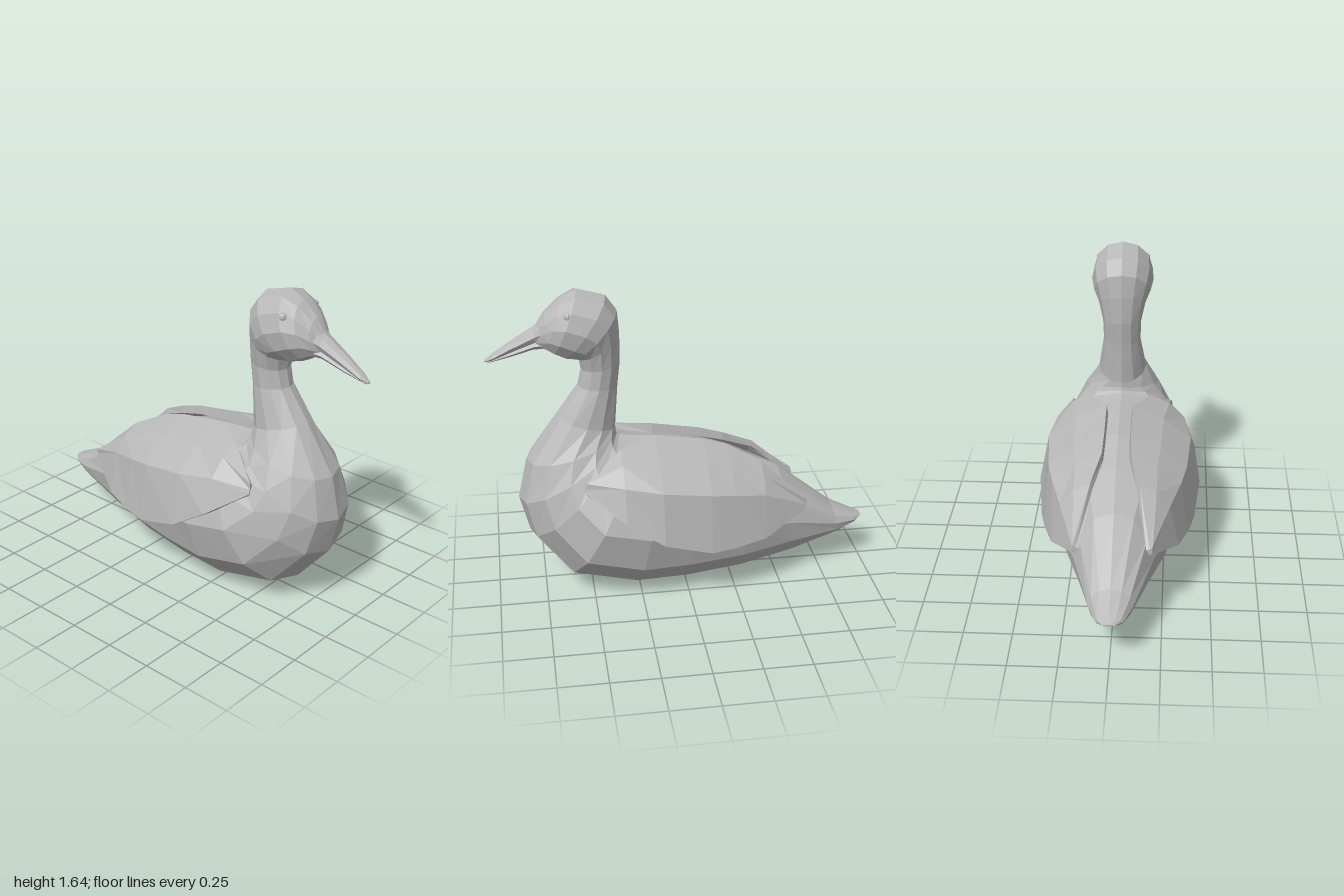
import * as THREE from 'three';

// Skin a list of closed loops (back to front, counter-clockwise seen from +z), capping both ends
function skin(loops) {
  const pos = [];
  const tri = (a, b, c) => pos.push(...a, ...b, ...c);
  const n = loops[0].length;
  for (let i = 0; i < loops.length - 1; i++) {
    const A = loops[i], B = loops[i + 1];
    for (let j = 0; j < n; j++) {
      const k = (j + 1) % n;
      tri(A[j], A[k], B[k]);
      tri(A[j], B[k], B[j]);
    }
  }
  const first = loops[0], last = loops[loops.length - 1];
  for (let j = 1; j < n - 1; j++) {
    tri(first[0], first[j + 1], first[j]);
    tri(last[0], last[j], last[j + 1]);
  }
  const g = new THREE.BufferGeometry();
  g.setAttribute('position', new THREE.Float32BufferAttribute(pos, 3));
  g.computeVertexNormals();
  return g;
}

// Elliptical loop between an underside point and a topside point of the side profile
function ring([bz, by, tz, ty, w], sides) {
  const loop = [];
  for (let j = 0; j < sides; j++) {
    const a = (j / sides) * Math.PI * 2;
    const t = (1 - Math.cos(a)) / 2;
    loop.push([w * Math.sin(a), by + (ty - by) * t, bz + (tz - bz) * t]);
  }
  return loop;
}

// Wing cross-section: outer skin from lower edge to back edge, then the inner skin
function wingLoop([z, tx, ty, cx, cy, bx, by], side) {
  const outer = [
    [bx, by], [cx, cy],
    [(tx + cx) / 2 + 0.008, (ty + cy) / 2 + 0.02],
    [tx, ty],
  ];
  const inner = outer.map(([x, y]) => [x * 0.9, 0.42 + (y - 0.42) * 0.88]).reverse();
  const loop = [...outer, ...inner].map(([x, y]) => [x * side, y, z]);
  return side > 0 ? loop : loop.reverse();
}

export function createModel() {
  const model = new THREE.Group();
  model.name = 'waterBird';
  const grey = new THREE.MeshStandardMaterial({ color: 0xb8b8b8, flatShading: true });
  grey.name = 'plainGrey';
  const add = (name, geometry, parent = model) => {
    const mesh = new THREE.Mesh(geometry, grey);
    mesh.name = name;
    parent.add(mesh);
    return mesh;
  };
  const loft = (rows, sides) => skin(rows.map((r) => ring(r, sides)));

  // Profile rows: underside z, y, topside z, y, half width
  const trunk = [
    [-0.995, 0.252, -0.995, 0.262, 0.03],
    [-0.95, 0.22, -0.95, 0.282, 0.07],
    [-0.87, 0.175, -0.82, 0.345, 0.11],
    [-0.6, 0.085, -0.52, 0.59, 0.2],
    [-0.3, 0.03, -0.27, 0.71, 0.3],
    [0, 0.003, -0.05, 0.785, 0.36],
    [0.28, 0.003, 0.15, 0.815, 0.4],
    [0.63, 0.085, 0.27, 0.825, 0.39],
    [0.82, 0.31, 0.33, 0.835, 0.31],
    [0.87, 0.51, 0.345, 0.845, 0.26],
    [0.82, 0.73, 0.35, 0.86, 0.205],
  ];
  const neck = [
    [0.66, 0.97, 0.352, 0.89, 0.13],
    [0.54, 1.13, 0.335, 1.12, 0.1],
    [0.52, 1.22, 0.32, 1.25, 0.103],
  ];
  const head = [
    [0.53, 1.275, 0.32, 1.4, 0.125],
    [0.56, 1.28, 0.33, 1.52, 0.152],
    [0.61, 1.285, 0.385, 1.6, 0.166],
    [0.66, 1.31, 0.53, 1.64, 0.158],
    [0.7, 1.335, 0.61, 1.6, 0.122],
    [0.72, 1.34, 0.69, 1.53, 0.08],
    [0.74, 1.35, 0.735, 1.465, 0.045],
  ];
  // Neighbouring parts share their joining ring
  add('body', loft(trunk, 12));
  add('neck', loft([trunk[trunk.length - 1], ...neck], 12));
  add('head', loft([neck[neck.length - 1], ...head], 12));

  // Bill, upper and lower halves
  const bill = new THREE.Group();
  bill.name = 'bill';
  model.add(bill);
  add('upperBill', loft([
    [0.65, 1.4, 0.65, 1.53, 0.1],
    [0.75, 1.365, 0.745, 1.458, 0.052],
    [0.87, 1.322, 0.87, 1.38, 0.038],
    [0.96, 1.287, 0.96, 1.318, 0.028],
    [1, 1.279, 1, 1.288, 0.008],
  ], 8), bill);
  add('lowerBill', loft([
    [0.66, 1.34, 0.66, 1.42, 0.075],
    [0.75, 1.338, 0.75, 1.385, 0.045],
    [0.87, 1.303, 0.87, 1.335, 0.032],
    [0.985, 1.273, 0.985, 1.283, 0.01],
  ], 8), bill);

  // Wing rows: z, back edge x, y, crease x, y, lower edge x, y
  const wing = [
    [-0.64, 0.185, 0.46, 0.196, 0.445, 0.2, 0.43],
    [-0.4, 0.125, 0.685, 0.28, 0.56, 0.33, 0.335],
    [-0.23, 0.075, 0.77, 0.335, 0.6, 0.382, 0.32],
    [-0.1, 0.07, 0.81, 0.365, 0.625, 0.41, 0.315],
    [0.15, 0.07, 0.85, 0.385, 0.665, 0.44, 0.395],
    [0.34, 0.165, 0.825, 0.35, 0.69, 0.41, 0.515],
    [0.53, 0.262, 0.69, 0.282, 0.67, 0.292, 0.645],
  ];
  for (const side of [1, -1]) {
    const label = side > 0 ? 'left' : 'right';
    add(label + 'Wing', skin(wing.map((row) => wingLoop(row, side))));
    const eye = add(label + 'Eye', new THREE.SphereGeometry(0.022, 8, 6));
    eye.position.set(side * 0.122, 1.538, 0.58);
  }
  return model;
}
